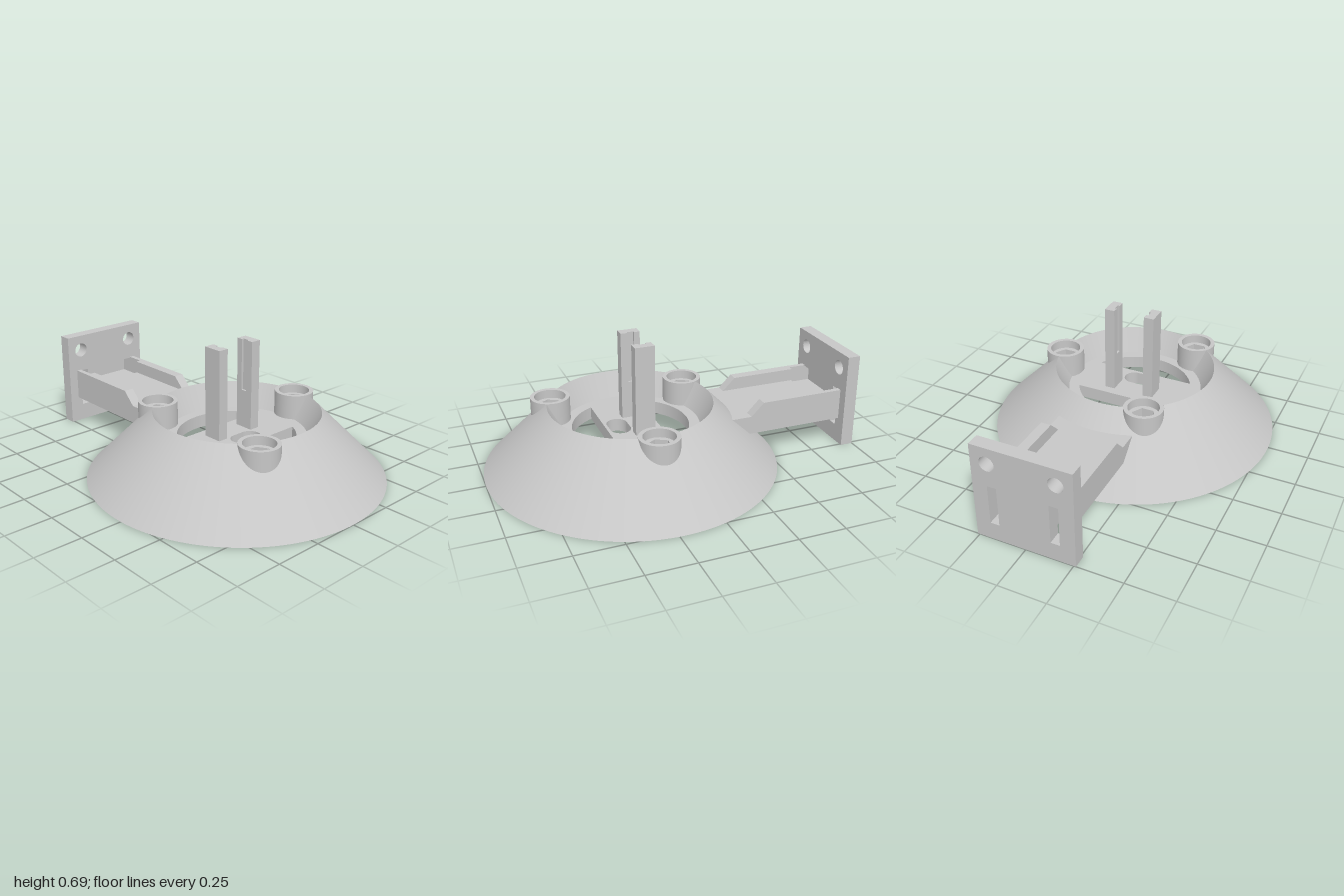
import * as THREE from 'three';
import { mergeGeometries } from 'three/addons/utils/BufferGeometryUtils.js';

const CZ = 0.2175;        // z of the cone axis
const RIM = 0.7825;       // radius of the cone's foot
const EDGE = 0.435;       // radius of its upper edge
const TOP = RIM - EDGE;   // 45 degree slope
const FUNNEL_R = 0.367;
const PLATE = [0.145, 0.215], PLATE_R = 0.54;
const BOSS_D = 0.435, BOSS_R = 0.105;

const gray = new THREE.MeshStandardMaterial({ color: 0xc6c6c6, side: THREE.DoubleSide });
gray.name = 'gray plastic';

// Revolve a profile, keeping every corner of it sharp
function turn(profile, segments) {
  const pieces = [];
  for (let i = 0; i < profile.length - 1; i++) {
    const pts = [profile[i], profile[i + 1]].map(([r, y]) => new THREE.Vector2(r, y));
    pieces.push(new THREE.LatheGeometry(pts, segments));
  }
  return mergeGeometries(pieces);
}

// Plan shape (x, -z) raised from y0 to y1
function slab(shape, y0, y1) {
  const g = new THREE.ExtrudeGeometry(shape, { depth: y1 - y0, bevelEnabled: false, curveSegments: 48 });
  return g.rotateX(-Math.PI / 2).translate(0, y0, 0);
}

const polygon = (pts) => new THREE.Shape(pts.map(([x, y]) => new THREE.Vector2(x, y)));

function circle(x, y, r, Kind = THREE.Path) {
  const c = new Kind();
  c.absarc(x, y, r, 0, Math.PI * 2, false);
  return c;
}

// Trim the top of a cone wall where the screw bosses pass through it
function trimAtBosses(geometry, side, heightAt) {
  const p = geometry.attributes.position;
  const step = Math.PI * 2 / 3;
  for (let i = 0; i < p.count; i++) {
    if (p.getY(i) < TOP - 0.001) continue;
    const a = Math.atan2(p.getZ(i), p.getX(i));
    const d = a - Math.round(a / step) * step;
    const root = BOSS_R ** 2 - (BOSS_D * Math.sin(d)) ** 2;
    if (root < 0) continue;
    const cut = BOSS_D * Math.cos(d) + side * Math.sqrt(root);
    const r = side > 0 ? Math.max(EDGE, cut) : Math.max(FUNNEL_R, Math.min(EDGE, cut));
    p.setXYZ(i, r * Math.cos(a), heightAt(r), r * Math.sin(a));
  }
  return geometry;
}

export function createModel() {
  const model = new THREE.Group();
  const add = (name, geometry, parent = model) => {
    const mesh = new THREE.Mesh(geometry, gray);
    mesh.name = name;
    parent.add(mesh);
  };

  const base = new THREE.Group();
  base.name = 'conicalBase';
  base.position.z = CZ;
  model.add(base);

  // Skirt, its hollow inside, and the funnel
  add('outerSkirt', trimAtBosses(turn([[RIM, 0], [EDGE, TOP]], 360), 1, (r) => RIM - r), base);
  add('innerSkirt', turn([[PLATE_R, 0.207], [0.747, 0], [RIM, 0]], 120), base);
  const slope = (TOP - PLATE[1]) / (EDGE - FUNNEL_R);
  add('funnel', trimAtBosses(turn([[EDGE, TOP], [FUNNEL_R, PLATE[1]]], 360), -1,
    (r) => PLATE[1] + (r - FUNNEL_R) * slope), base);

  // Floor plate with two segment openings, an oblong slot and screw holes
  const floor = circle(0, 0, PLATE_R, THREE.Shape);
  const a = Math.asin(0.138 / 0.31);
  for (const turnBy of [0, Math.PI]) {
    const opening = new THREE.Path();
    opening.absarc(0, 0, 0.31, a + turnBy, Math.PI - a + turnBy, false);
    opening.closePath();
    floor.holes.push(opening);
  }
  const oblong = new THREE.Path();
  oblong.absarc(0.033, -0.067, 0.055, -Math.PI / 2, Math.PI / 2, false);
  oblong.absarc(-0.033, -0.067, 0.055, Math.PI / 2, Math.PI * 1.5, false);
  oblong.closePath();
  floor.holes.push(oblong);
  const bossSpots = [0, 1, 2].map((i) => {
    const t = i * Math.PI * 2 / 3;
    return [BOSS_D * Math.cos(t), BOSS_D * Math.sin(t)];
  });
  for (const [x, y] of bossSpots) floor.holes.push(circle(x, y, 0.08));
  add('floorPlate', slab(floor, ...PLATE), base);

  // Screw bosses: counterbored tube with a hexagonal web
  const tube = turn([[BOSS_R, 0.2], [BOSS_R, TOP], [0.083, TOP], [0.083, 0.3], [0.08, 0.24], [0.08, PLATE[0]]], 48);
  const web = circle(0, 0, 0.083, THREE.Shape);
  const hex = [];
  for (let i = 0; i < 6; i++) {
    hex.push(new THREE.Vector2(0.064 * Math.cos(i * Math.PI / 3), 0.064 * Math.sin(i * Math.PI / 3)));
  }
  web.holes.push(new THREE.Path(hex));
  const webGeometry = slab(web, 0.24, 0.3);
  for (const [x, z] of bossSpots) {
    const boss = new THREE.Group();
    boss.name = 'screwBoss';
    boss.position.set(x, 0, z);
    add('bossTube', tube, boss);
    add('hexWeb', webGeometry, boss);
    base.add(boss);
  }

  // Pair of upright posts, the upper half grooved on the facing sides
  for (const s of [1, -1]) {
    const post = (groove) => polygon([[0.085, -0.13], [0.14, -0.13], [0.14, -0.235], [0.085, -0.235],
      [0.085, -0.198], [0.085 + groove, -0.198], [0.085 + groove, -0.162], [0.085, -0.162]]
      .map(([x, y]) => [s * x, y]));
    const name = s > 0 ? 'leftPost' : 'rightPost';
    add(name + 'Foot', slab(polygon([[0.085, -0.13], [0.14, -0.13], [0.14, -0.235], [0.085, -0.235]]
      .map(([x, y]) => [s * x, y])), 0.21, 0.42));
    add(name, slab(post(0.012), 0.42, 0.695));
  }

  // Arm floor, its end following the cone
  const arm = new THREE.Shape();
  const h = Math.acos(0.21 / 0.535);
  arm.absarc(0, -CZ, 0.535, Math.PI - h, h, true);
  for (const [x, y] of [[0.21, 0.931], [0.183, 0.931], [0.183, 0.828], [0.135, 0.828], [0.135, 0.931],
    [-0.135, 0.931], [-0.135, 0.828], [-0.183, 0.828], [-0.183, 0.931], [-0.21, 0.931]]) arm.lineTo(x, y);
  arm.closePath();
  const armGeometry = slab(arm, 0.145, 0.245);
  const p = armGeometry.attributes.position;
  for (let i = 0; i < p.count; i++) {
    if (p.getZ(i) > -0.5) p.setZ(i, p.getZ(i) - (0.245 - p.getY(i)) * 0.8);
  }
  armGeometry.computeVertexNormals();
  add('armFloor', armGeometry);

  // Arm side walls, thinner beside the slots
  const wall = (back, x0, x1) => {
    const shape = polygon([[back, 0.245], [back, 0.315], [0.46, 0.315], [0.39, 0.245]]);
    return new THREE.ExtrudeGeometry(shape, { depth: x1 - x0, bevelEnabled: false })
      .rotateY(Math.PI / 2).translate(x0, 0, 0);
  };
  for (const s of [1, -1]) {
    const name = s > 0 ? 'leftArmWall' : 'rightArmWall';
    add(name, wall(0.931, s > 0 ? 0.183 : -0.21, s > 0 ? 0.21 : -0.183));
    add(name + 'Inner', wall(0.828, s > 0 ? 0.155 : -0.183, s > 0 ? 0.183 : -0.155));
  }

  // Mounting plate with screw holes and strap slots
  const mount = polygon([[-0.2615, 0], [0.2615, 0], [0.2615, 0.523], [-0.2615, 0.523]]);
  for (const s of [1, -1]) {
    mount.holes.push(circle(s * 0.175, 0.436, 0.04));
    mount.holes.push(new THREE.Path([[0.135, 0.095], [0.183, 0.095], [0.183, 0.31], [0.135, 0.31]]
      .map(([x, y]) => new THREE.Vector2(s * x, y))));
  }
  add('mountingPlate', new THREE.ExtrudeGeometry(mount, { depth: 0.07, bevelEnabled: false, curveSegments: 32 })
    .translate(0, 0, -1));

  return model;
}
